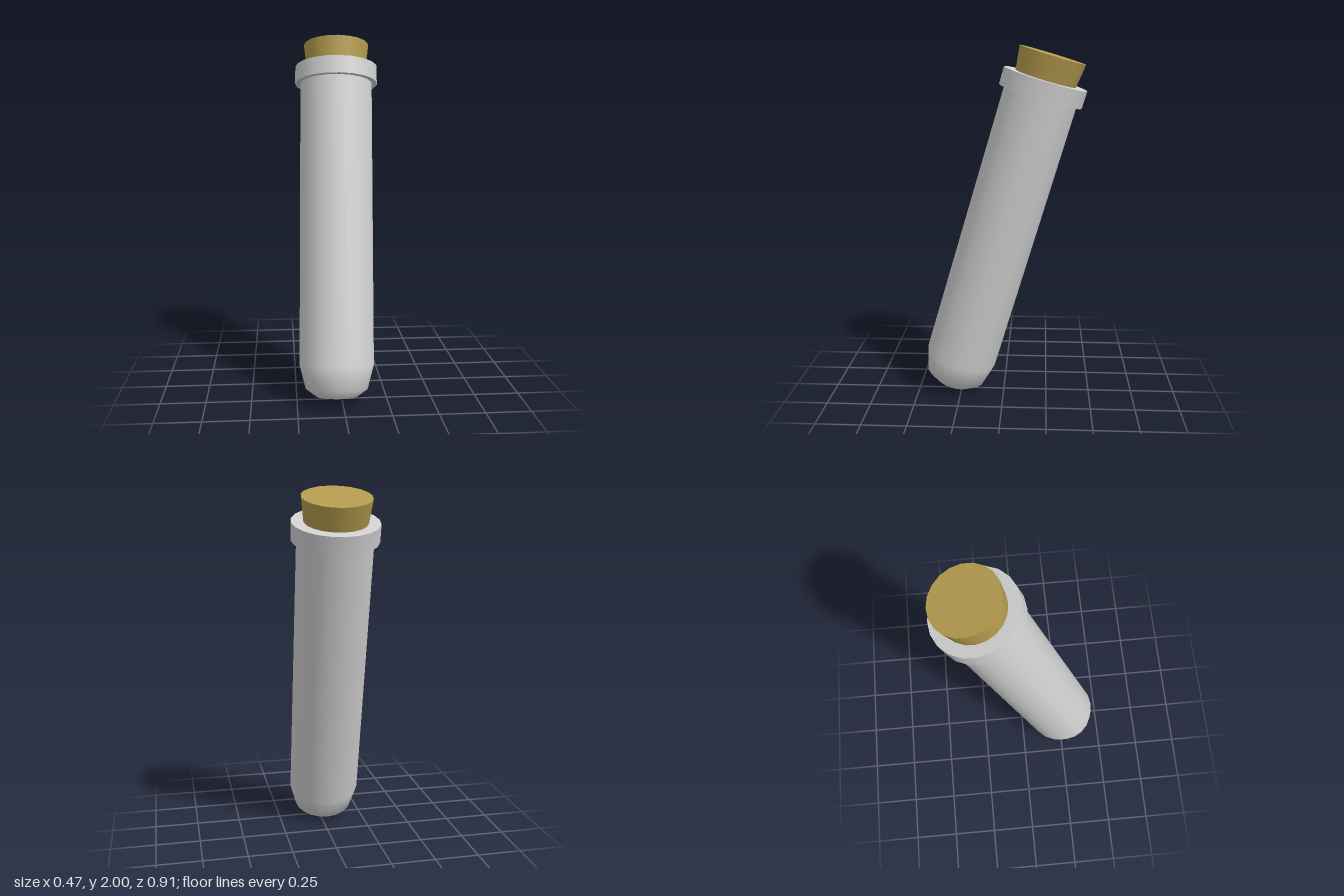
import * as THREE from 'three';

export function createModel() {
  const model = new THREE.Group();
  const glass = new THREE.MeshStandardMaterial({ color: 0xd0d0d0 });
  glass.name = 'pale grey';
  const cork = new THREE.MeshStandardMaterial({ color: 0xb39b4e });
  cork.name = 'cork tan';
  const SIDES = 20;

  // Everything is built along a leaning axis whose origin is the stopper's top
  const vial = new THREE.Group();
  vial.name = 'vial';
  vial.position.set(0.006, 1.948, -0.265);
  vial.quaternion.setFromUnitVectors(
    new THREE.Vector3(0, 1, 0),
    new THREE.Vector3(0.0194, 1, -0.296).normalize()
  );
  model.add(vial);

  const add = (name, geometry, material, y = 0) => {
    const mesh = new THREE.Mesh(geometry, material);
    mesh.name = name;
    mesh.position.y = y;
    vial.add(mesh);
  };

  // Tube wall with its rounded lower end
  const profile = [
    [0.108, -1.997], [0.172, -1.951], [0.206, -1.823], [0.206, -0.2],
  ].map(([r, y]) => new THREE.Vector2(r, y));
  add('tubeWall', new THREE.LatheGeometry(profile, SIDES), glass);

  // Flat underside of the tube
  add('tubeBase', new THREE.CircleGeometry(0.108, SIDES).rotateX(Math.PI / 2), glass, -1.997);

  // Collar around the mouth
  add('collar', new THREE.CylinderGeometry(0.236, 0.236, 0.098, SIDES), glass, -0.181);

  // Tapered stopper
  add('stopper', new THREE.CylinderGeometry(0.187, 0.17, 0.14, SIDES), cork, -0.07);

  return model;
}
